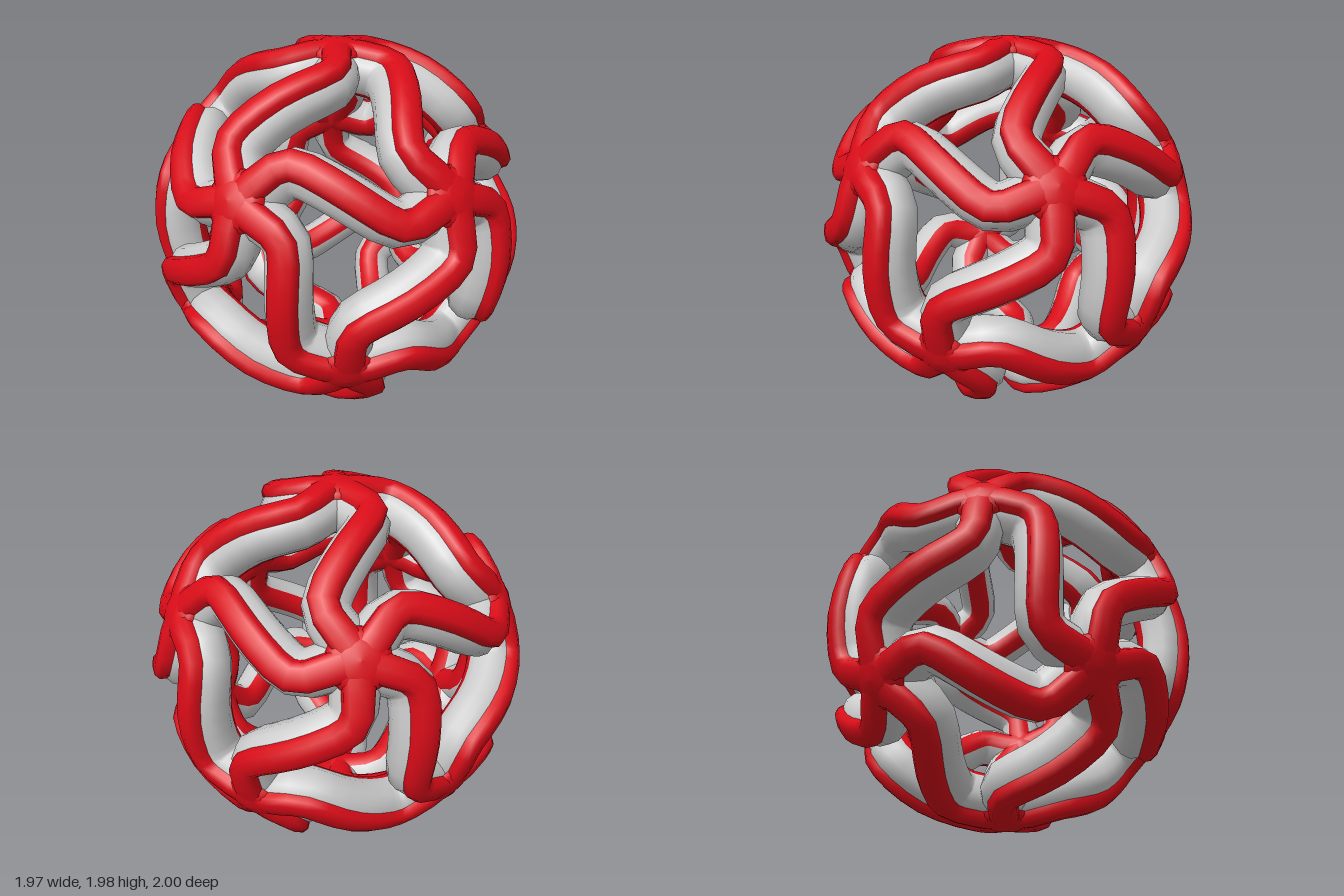
import * as THREE from 'three';

const red = new THREE.MeshStandardMaterial({ color: 0xd80c18, side: THREE.DoubleSide });
const grey = new THREE.MeshStandardMaterial({ color: 0xcccccc, side: THREE.DoubleSide });

// Half of the S-shaped centre line, as angles along and across an icosahedron edge
const HALF = Math.atan(2) / 2;
const halfPath = [[0, 0], [0.09, -0.062], [0.18, -0.12], [0.26, -0.152], [0.34, -0.137], [0.44, -0.072], [HALF, 0]];
const path = [...halfPath.slice(1).reverse().map(([u, v]) => [-u, -v]), ...halfPath];

// Cross-section bands: [sideways offset, radius]
const outerBand = [[-0.07, 0.935], [-0.067, 0.97], [-0.044, 0.993], [0, 1], [0.044, 0.993], [0.067, 0.97], [0.07, 0.935]];
const rightBand = [[0.07, 0.935], [0.1, 0.905], [0.113, 0.855], [0.098, 0.79], [0.06, 0.755]];
const innerBand = [[0.06, 0.755], [0.036, 0.735], [0, 0.728], [-0.036, 0.735], [-0.06, 0.755]];
const mirror = (band) => band.map(([w, r]) => [-w, r]).reverse();

const onSphere = ([u, v]) => new THREE.Vector3(
  Math.cos(v) * Math.sin(u), Math.sin(v), Math.cos(v) * Math.cos(u));

// Sweep one band of the cross-section along the S curve, which straightens towards the inside
function sweep(band) {
  const pts = path.map(onSphere), pos = [], index = [], n = band.length;
  path.forEach(([u, v], i) => {
    const prev = pts[Math.max(i - 1, 0)], next = pts[Math.min(i + 1, pts.length - 1)];
    const side = pts[i].clone().cross(next.clone().sub(prev)).normalize();
    const toNode = Math.abs(u) / HALF;
    const widen = 1 + 0.2 * toNode ** 6;
    for (const [w, r] of band) {
      const straighten = 1 - 0.6 * (1 - r);
      const q = onSphere([u, v * straighten]).multiplyScalar(r * (1 - 0.013 * toNode));
      q.addScaledVector(side, w * widen);
      pos.push(q.x, q.y, q.z);
    }
    if (i === pts.length - 1) return;
    for (let j = 0; j < n - 1; j++) {
      const a = i * n + j, b = a + n;
      index.push(a, b, b + 1, a, b + 1, a + 1);
    }
  });
  const g = new THREE.BufferGeometry();
  g.setAttribute('position', new THREE.Float32BufferAttribute(pos, 3));
  g.setIndex(index);
  g.computeVertexNormals();
  return g;
}

const lathe = (pts) => new THREE.LatheGeometry(pts.map(([x, y]) => new THREE.Vector2(x, y)), 20);

export function createModel() {
  const model = new THREE.Group();
  model.name = 'wovenSphere';
  const add = (parent, name, geometry, material) => {
    const mesh = new THREE.Mesh(geometry, material);
    mesh.name = name;
    parent.add(mesh);
  };

  // Twelve icosahedron corners, with one at the top
  const corners = [new THREE.Vector3(0, 1, 0), new THREE.Vector3(0, -1, 0)];
  const h = 1 / Math.sqrt(5), ring = 2 * h;
  for (let k = 0; k < 5; k++) {
    const a = THREE.MathUtils.degToRad(18 + 72 * k);
    const up = new THREE.Vector3(ring * Math.sin(a), h, ring * Math.cos(a));
    corners.push(up, up.clone().negate());
  }

  // Thirty S-shaped struts
  const strutParts = [
    ['outerFace', sweep(outerBand), red], ['innerFace', sweep(innerBand), red],
    ['rightFlank', sweep(rightBand), grey], ['leftFlank', sweep(mirror(rightBand)), grey],
  ];
  corners.forEach((a, i) => corners.slice(i + 1).forEach((b) => {
    if (a.dot(b) < 0.4) return;
    const strut = new THREE.Group();
    strut.name = 'strut';
    const out = a.clone().add(b).normalize();
    const along = a.clone().sub(b).normalize();
    strut.quaternion.setFromRotationMatrix(
      new THREE.Matrix4().makeBasis(along, out.clone().cross(along), out));
    strutParts.forEach(([name, g, m]) => add(strut, name, g, m));
    model.add(strut);
  }));

  // Hubs filling the five-armed joints
  const hubParts = [
    ['hubCap', lathe([[0.15, 0.915], [0.145, 0.94], [0.12, 0.965], [0.07, 0.984], [0, 0.991]]), red],
    ['hubInside', lathe([[0, 0.715], [0.07, 0.722], [0.12, 0.748]]), red],
  ];
  for (const c of corners) {
    const hub = new THREE.Group();
    hub.name = 'hub';
    hub.quaternion.setFromUnitVectors(new THREE.Vector3(0, 1, 0), c);
    hubParts.forEach(([name, g, m]) => add(hub, name, g, m));
    model.add(hub);
  }

  model.children.forEach((part) => { part.position.y = 0.995; });
  return model;
}
